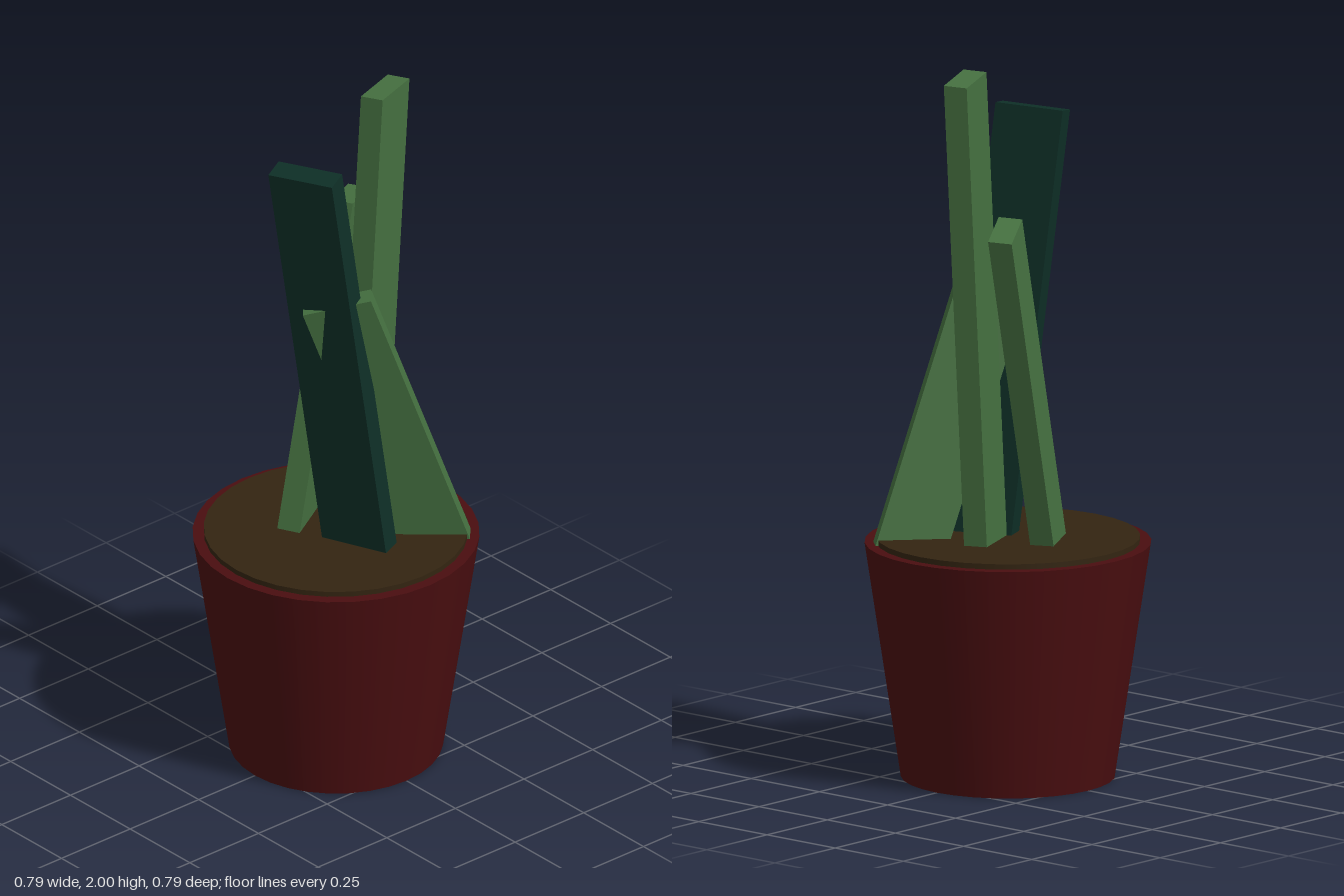
import * as THREE from 'three';

const SOIL_Y = 0.675;
const BURIED_Y = 0.645;

const mat = (name, color) => {
  const m = new THREE.MeshStandardMaterial({ color });
  m.name = name;
  return m;
};

// A slanted, straight-sided leaf: the top is a parallelogram at corner p with edges u and v,
// and the stem drifts by [dx, dz] on its way down to the soil.
function leafGeometry({ p, u, v, drift }) {
  const geo = new THREE.BoxGeometry(1, 1, 1);
  const pos = geo.attributes.position;
  const fall = p[1] - SOIL_Y;
  for (let i = 0; i < pos.count; i++) {
    const s = pos.getX(i) + 0.5;
    const t = pos.getZ(i) + 0.5;
    let [x, y, z] = p.map((c, k) => c + u[k] * s + v[k] * t);
    if (pos.getY(i) < 0) {
      const drop = y - BURIED_Y;
      x += (drift[0] / fall) * drop;
      z += (drift[1] / fall) * drop;
      y = BURIED_Y;
    }
    pos.setXYZ(i, x, y, z);
  }
  geo.computeVertexNormals();
  return geo;
}

export function createModel() {
  const group = new THREE.Group();
  group.name = 'pottedPlant';

  const terracotta = mat('dark red clay', 0x4a0e10);
  const earth = mat('brown soil', 0x332411);
  const green = mat('leaf green', 0x457040);
  const darkGreen = mat('deep leaf green', 0x0e2f27);

  const add = (name, geo, material, y = 0) => {
    const mesh = new THREE.Mesh(geo, material);
    mesh.name = name;
    mesh.position.y = y;
    group.add(mesh);
  };

  // Tapered pot and the soil disc on top
  add('pot', new THREE.CylinderGeometry(0.395, 0.295, 0.66, 32), terracotta, 0.33);
  add('soil', new THREE.CylinderGeometry(0.364, 0.364, 0.03, 32), earth, SOIL_Y - 0.015);

  // Leaves
  const leaves = [
    { name: 'rightLeaf', material: green,
      p: [-0.23, 1.57, -0.245], u: [0.06, 0.003, -0.03], v: [0.083, 0.035, 0.138], drift: [0.045, 0.225] },
    { name: 'tallLeaf', material: green,
      p: [-0.065, 1.985, -0.245], u: [0.06, 0.003, -0.027], v: [0.06, 0.012, 0.15], drift: [0.01, 0.095] },
    { name: 'frontLeaf', material: darkGreen,
      p: [-0.068, 1.856, 0.15], u: [0.182, 0.01, -0.073], v: [0.026, -0.01, 0.06], drift: [0.06, -0.145] },
    { name: 'leaningLeaf', material: green,
      p: [0, 1.425, 0.12], u: [0.13, 0.05, -0.135], v: [0.045, -0.004, 0.04], drift: [0.09, -0.255] },
  ];
  for (const leaf of leaves) add(leaf.name, leafGeometry(leaf), leaf.material);

  return group;
}
